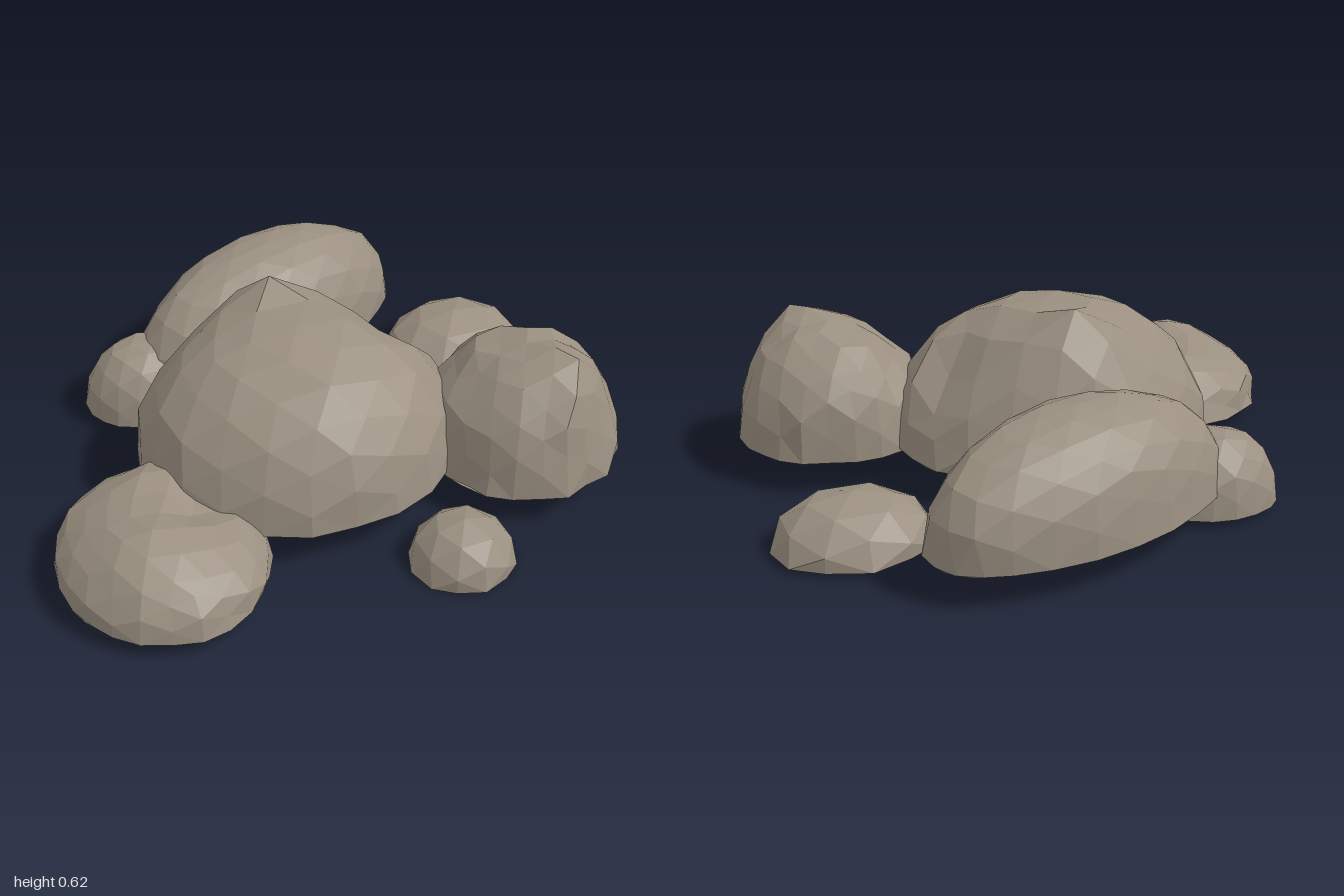
import * as THREE from 'three';
import { mergeVertices } from 'three/addons/utils/BufferGeometryUtils.js';

const stone = new THREE.MeshStandardMaterial({ color: 0x9a8f80, flatShading: true });

// Small seeded generator, returns values in 0..1
function seeded(seed) {
  let s = seed * 7919 + 17;
  return () => {
    s = (s * 16807) % 2147483647;
    return s / 2147483647;
  };
}

// Faceted dome with a flat underside on an elliptical footprint.
// turn rotates the footprint, power below 1 makes the sides steeper,
// bumps are swellings or dents: [x, z, radius, height]
function boulder(name, { centre, radii, base, top, detail, turn = 0, power = 1, rough = 0.04, bumps = [] }) {
  const rand = seeded(name.length);
  let geo = new THREE.IcosahedronGeometry(1, detail);
  geo.deleteAttribute('normal');
  geo.deleteAttribute('uv');
  geo = mergeVertices(geo, 1e-4);
  const pos = geo.attributes.position;
  const p = new THREE.Vector3();
  const axis = new THREE.Vector3(0, 1, 0);
  for (let i = 0; i < pos.count; i++) {
    p.fromBufferAttribute(pos, i);
    const up = Math.max(0, p.y);
    // Vertices just under the equator form the rim; the rest fill the underside
    const onRim = p.y < 0.02 && p.y > -0.25;
    const spread = (onRim ? 1 / Math.hypot(p.x, p.z) : 1) * (1 - rand() * rough);
    p.set(p.x * radii[0] * spread, 0, p.z * radii[1] * spread).applyAxisAngle(axis, turn);
    p.x += centre[0];
    p.z += centre[1];
    p.y = base;
    if (up > 0.001) {
      p.y += (top - base) * Math.pow(up, power) * (1 + (rand() - 0.5) * rough);
      for (const [x, z, radius, height] of bumps) {
        const d = Math.hypot(p.x - x, p.z - z) / radius;
        p.y += height * Math.exp(-d * d) * Math.min(1, up * 2);
      }
      p.y = Math.max(base, p.y);
    }
    pos.setXYZ(i, p.x, p.y, p.z);
  }
  geo = geo.toNonIndexed();
  geo.computeVertexNormals();
  const mesh = new THREE.Mesh(geo, stone);
  mesh.name = name;
  return mesh;
}

export function createModel() {
  const group = new THREE.Group();
  group.name = 'rockPile';

  // Large boulders
  group.add(boulder('centreBoulder', {
    centre: [-0.07, 0.1], radii: [0.57, 0.51], base: 0.125, top: 0.585, detail: 3,
    bumps: [[-0.07, -0.22, 0.16, 0.12], [0.33, -0.02, 0.13, -0.1]],
  }));
  group.add(boulder('backBoulder', {
    centre: [0.08, -0.58], radii: [0.57, 0.28], turn: 0.33, base: 0.11, top: 0.485, detail: 3, power: 0.8,
  }));
  group.add(boulder('frontLeftBoulder', {
    centre: [0.63, 0.36], radii: [0.34, 0.35], base: 0.11, top: 0.51, detail: 3, power: 0.85, rough: 0.08,
    bumps: [[0.71, 0.52, 0.1, 0.08], [0.48, 0.36, 0.1, -0.04]],
  }));
  group.add(boulder('lobedBoulder', {
    centre: [-0.66, 0.425], radii: [0.345, 0.39], base: 0.05, top: 0.25, detail: 3, power: 0.8, rough: 0.06,
    bumps: [[-0.76, 0.55, 0.14, 0.035], [-0.6, 0.2, 0.1, 0.03], [-0.54, 0.42, 0.09, -0.05]],
  }));

  // Small stones around the pile
  group.add(boulder('backRightStone', {
    centre: [-0.44, -0.455], radii: [0.225, 0.19], base: 0.025, top: 0.27, detail: 2, power: 0.9,
  }));
  group.add(boulder('sideStone', {
    centre: [0.73, -0.33], radii: [0.275, 0.235], base: 0.015, top: 0.18, detail: 1,
  }));
  group.add(boulder('frontStone', {
    centre: [0.24, 0.725], radii: [0.18, 0.178], base: 0, top: 0.165, detail: 1,
  }));
  return group;
}
